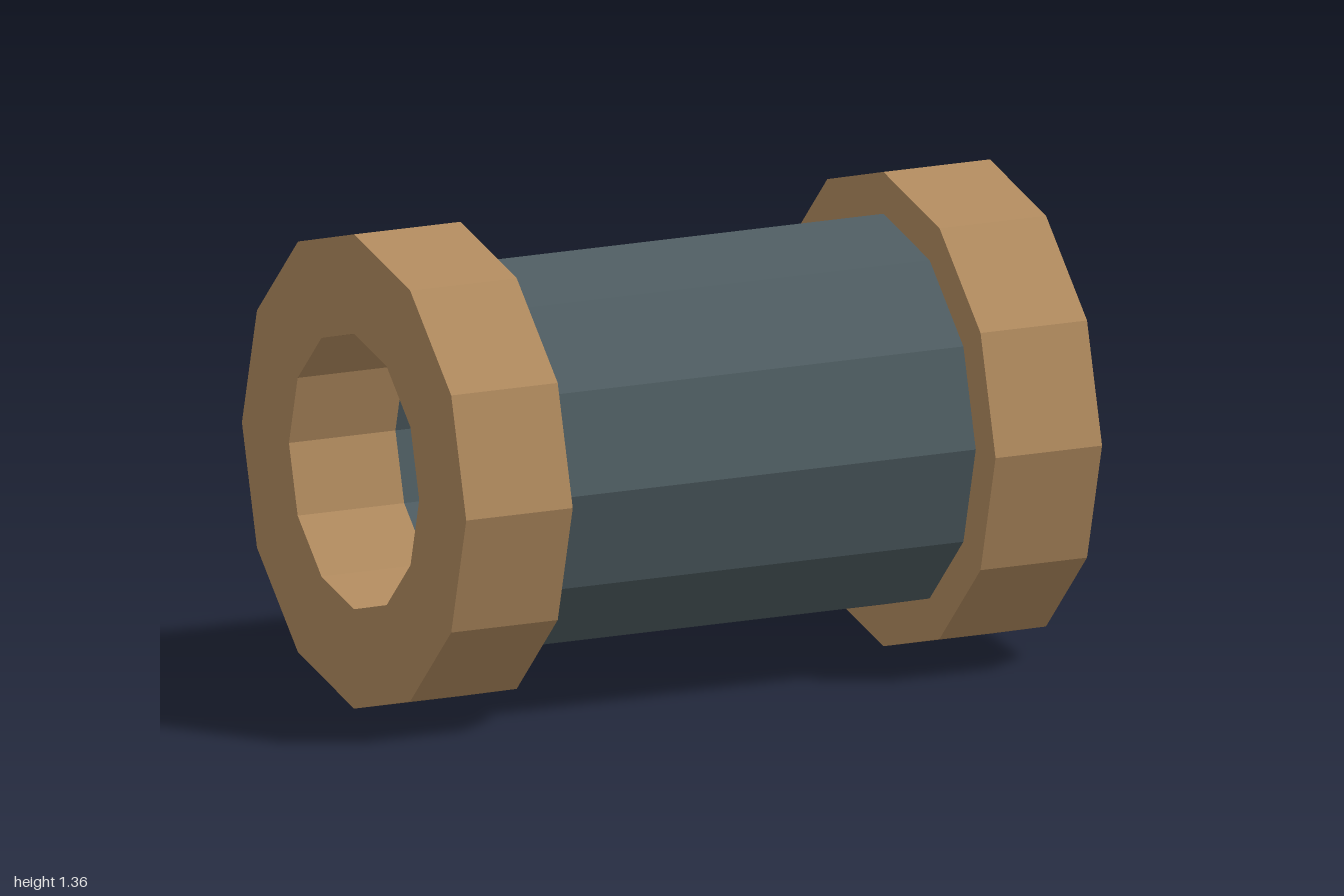
import * as THREE from 'three';

const SIDES = 12;
const CENTRE_Y = 0.68;

// Flat-shaded hollow ring lying along the x axis
function ring(name, inner, outer, length, x, material) {
  const h = length / 2;
  const profile = [[inner, -h], [outer, -h], [outer, h], [inner, h], [inner, -h]]
    .map(([r, y]) => new THREE.Vector2(r, y));
  const geometry = new THREE.LatheGeometry(profile, SIDES).toNonIndexed();
  geometry.rotateZ(-Math.PI / 2);
  geometry.computeVertexNormals();
  const mesh = new THREE.Mesh(geometry, material);
  mesh.name = name;
  mesh.position.set(x, CENTRE_Y, 0);
  return mesh;
}

export function createModel() {
  const tan = new THREE.MeshStandardMaterial({ name: 'tan', color: 0xb08a5e, flatShading: true });
  const slate = new THREE.MeshStandardMaterial({ name: 'slate', color: 0x4e5c61, flatShading: true });

  const model = new THREE.Group();
  model.name = 'flangedPipe';

  // Pipe between the two collars
  model.add(ring('pipe', 0.395, 0.56, 1.33, 0, slate));

  // Wider collar at each end
  for (const side of [-1, 1]) {
    model.add(ring(side > 0 ? 'leftCollar' : 'rightCollar', 0.395, 0.68, 0.335, side * 0.8325, tan));
  }
  return model;
}
